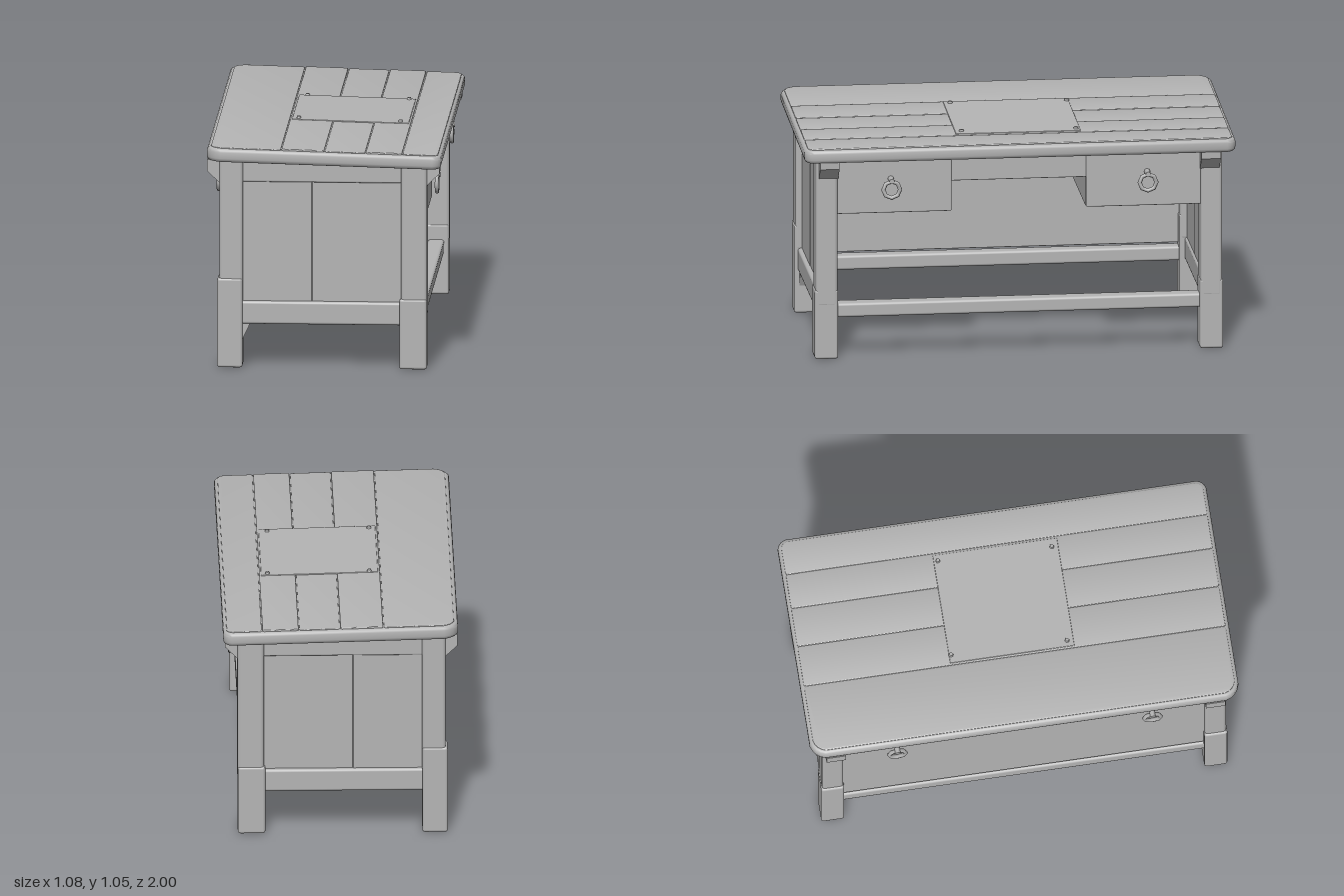
import * as THREE from 'three';
import { toCreasedNormals } from 'three/addons/utils/BufferGeometryUtils.js';
import { RoundedBoxGeometry } from 'three/addons/geometries/RoundedBoxGeometry.js';

export function createModel() {
  const model = new THREE.Group();
  model.name = 'writingDesk';
  const wood = new THREE.MeshStandardMaterial({ color: 0xb4b4b4 });
  wood.name = 'plainGrey';

  const add = (name, geometry, parent = model) => {
    const mesh = new THREE.Mesh(geometry, wood);
    mesh.name = name;
    parent.add(mesh);
    return mesh;
  };

  // Box given by its two limits on each axis, with softened edges
  const block = (name, [x0, x1], [y0, y1], [z0, z1], r = 0.008, parent = model) => {
    const mesh = add(name, new RoundedBoxGeometry(x1 - x0, y1 - y0, z1 - z0, 2, r), parent);
    mesh.position.set((x0 + x1) / 2, (y0 + y1) / 2, (z0 + z1) / 2);
    return mesh;
  };

  // Polygon in x and y, extruded along z around zMid
  const prism = (name, points, width, zMid) => {
    const shape = new THREE.Shape(points.map(p => new THREE.Vector2(...p)));
    const geometry = new THREE.ExtrudeGeometry(shape, { depth: width, bevelEnabled: false });
    geometry.translate(0, 0, zMid - width / 2);
    return add(name, geometry);
  };

  // Table top, sloping slightly down towards the drawer side
  const top = new THREE.Group();
  top.name = 'tableTop';
  top.position.y = 0.997;
  top.rotation.z = -0.026;
  model.add(top);

  // Flat slab with cut corners and rounded rim, lying in x and z
  const slab = (name, [x0, x1], z, cutL, cutR, y0, y1, bevel) => {
    const a = x0 + bevel, b = x1 - bevel, e = z - bevel;
    const shape = new THREE.Shape();
    shape.moveTo(a + cutL, -e);
    shape.lineTo(b - cutR, -e);
    shape.quadraticCurveTo(b - cutR * 0.2, -e + cutR * 0.2, b, -e + cutR);
    shape.lineTo(b, e - cutR);
    shape.quadraticCurveTo(b - cutR * 0.2, e - cutR * 0.2, b - cutR, e);
    shape.lineTo(a + cutL, e);
    shape.quadraticCurveTo(a + cutL * 0.2, e - cutL * 0.2, a, e - cutL);
    shape.lineTo(a, -e + cutL);
    shape.quadraticCurveTo(a + cutL * 0.2, -e + cutL * 0.2, a + cutL, -e);
    const geometry = new THREE.ExtrudeGeometry(shape, {
      depth: y1 - y0 - 2 * bevel, bevelThickness: bevel, bevelSize: bevel, bevelSegments: 3, curveSegments: 4
    });
    geometry.translate(0, 0, y0 + bevel);
    geometry.rotateX(-Math.PI / 2);
    add(name, toCreasedNormals(geometry, 0.7), top);
  };
  slab('topCore', [-0.544, 0.54], 1, 0.05, 0.025, -0.035, 0.029, 0.018);

  // Thin top boards with narrow seams
  const seams = [-0.528, -0.2, 0, 0.19, 0.36, 0.526];
  for (let i = 0; i < 5; i++) {
    slab('topBoard', [seams[i] + 0.002, seams[i + 1] - 0.002], 0.984,
      i === 0 ? 0.05 : 0.004, i === 4 ? 0.025 : 0.004, 0.02, 0.034 + (i % 2) * 0.002, 0.004);
  }

  // Nailed repair patch in the middle of the top
  block('topPatch', [-0.19, 0.35], [0.03, 0.039], [-0.3, 0.28], 0.003, top);
  for (const [x, z] of [[-0.15, -0.29], [0.32, -0.28], [-0.16, 0.25], [0.31, 0.25]]) {
    const nail = add('nailHead', new THREE.CylinderGeometry(0.009, 0.013, 0.014, 6), top);
    nail.position.set(x, 0.041, z);
  }

  // Legs with thicker feet and a flared bracket under the top
  for (const sz of [-1, 1]) {
    const zs = (a, b) => (sz > 0 ? [a, b] : [-b, -a]);
    block('leftLeg', [0.352, 0.473], [0.25, 0.965], zs(0.843, 0.943), 0.015);
    block('leftFoot', [0.345, 0.472], [0, 0.33], zs(0.84, 0.948), 0.012);
    block('rightLeg', [-0.487, -0.378], [0.3, 0.985], zs(0.843, 0.943), 0.015);
    block('rightFoot', [-0.497, -0.38], [0, 0.42], zs(0.84, 0.948), 0.012);
    prism('leftBracket', [[0.44, 0.85], [0.47, 0.86], [0.53, 0.92], [0.532, 0.96], [0.44, 0.96]], 0.09, sz * 0.885);
    prism('rightBracket', [[-0.45, 0.975], [-0.543, 0.975], [-0.543, 0.92], [-0.485, 0.865], [-0.45, 0.85]], 0.09, sz * 0.885);

    // End walls: two boards between a top and a bottom rail
    block('endBoard', [-0.39, -0.06], [0.28, 0.9], zs(0.875, 0.912), 0.004);
    block('endBoard', [-0.06, 0.36], [0.28, 0.9], zs(0.875, 0.91), 0.004);
    block('endTopRail', [-0.39, 0.36], [0.87, 0.975], zs(0.87, 0.922));
    block('endBottomRail', [-0.39, 0.36], [0.203, 0.31], zs(0.865, 0.932), 0.012);

    // Drawer pedestal
    block('drawerBox', [-0.44, 0.445], [0.69, 0.958], zs(0.31, 0.85), 0.004);
    block('drawerFront', [0.43, 0.46], [0.688, 0.955], zs(0.312, 0.845), 0.006);
  }
  prism('legWedge', [[-0.385, 0.12], [-0.345, 0.205], [-0.385, 0.205]], 0.06, 0.895);

  // Centre drawer above the knee space
  block('centreDrawer', [-0.44, 0.452], [0.83, 0.965], [-0.32, 0.32], 0.004);

  // Closed long side and the two long stretchers
  block('longPanel', [-0.468, -0.435], [0.272, 0.975], [-0.85, 0.85], 0.004);
  block('panelStretcher', [-0.475, -0.405], [0.192, 0.26], [-0.86, 0.86], 0.012);
  block('openStretcher', [0.375, 0.45], [0.192, 0.258], [-0.86, 0.86], 0.012);

  // Ring pulls on both long sides
  for (const sx of [-1, 1]) {
    for (const sz of [-1, 1]) {
      const pull = new THREE.Group();
      pull.name = 'ringPull';
      pull.position.set(sx > 0 ? 0.46 : -0.468, 0.85, sz * 0.595);
      pull.scale.x = 1;
      pull.rotation.y = sx > 0 ? 0 : Math.PI;
      model.add(pull);
      const ring = add('ring', new THREE.TorusGeometry(0.039, 0.01, 6, 8), pull);
      ring.rotation.y = Math.PI / 2;
      ring.position.set(0.04, -0.042, 0);
      const post = add('post', new THREE.CylinderGeometry(0.012, 0.015, 0.065, 8), pull);
      post.rotation.z = -Math.PI / 2;
      post.position.x = 0.022;
    }
  }
  return model;
}
